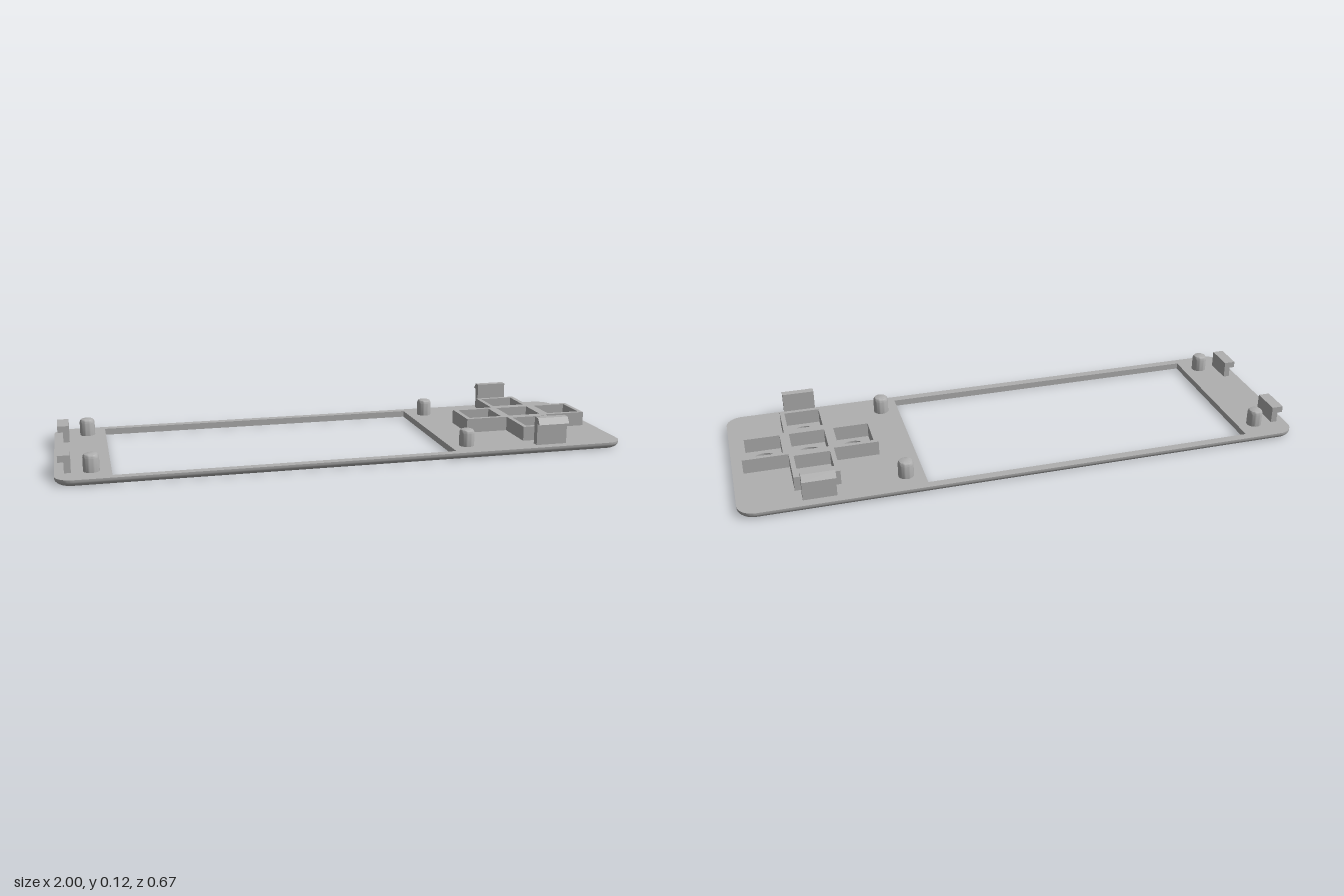
import * as THREE from 'three';
import { toCreasedNormals } from 'three/addons/utils/BufferGeometryUtils.js';

const PLATE_TOP = 0.023;
const PAD_X = 0.728, PITCH = 0.157, CELL = 0.156, WALL = 0.016;
// Centres of the five button cells, as [x, z]
const CELLS = [[0, 0], [1, 0], [-1, 0], [0, 1], [0, -1]].map(([i, j]) => [PAD_X + i * PITCH, j * PITCH]);

const polygon = (points, Type = THREE.Shape) => new Type(points.map(([x, y]) => new THREE.Vector2(x, y)));
const rectangle = (x0, x1, y0, y1, Type) => polygon([[x0, y0], [x1, y0], [x1, y1], [x0, y1]], Type);

// Face plate: rounded rectangle with a window, button holes and a rounded lower edge
function plateGeometry() {
  const w = 1, d = 0.335, r = 0.06;
  const shape = new THREE.Shape();
  shape.absarc(w - r, d - r, r, 0, Math.PI / 2);
  shape.absarc(-w + r, d - r, r, Math.PI / 2, Math.PI);
  shape.absarc(-w + r, -d + r, r, Math.PI, Math.PI * 1.5);
  shape.absarc(w - r, -d + r, r, Math.PI * 1.5, Math.PI * 2);
  shape.holes.push(rectangle(-0.815, 0.367, -0.305, 0.305, THREE.Path));
  for (const [x, z] of CELLS) {
    shape.holes.push(new THREE.Path().absarc(x, -z, 0.042, 0, Math.PI * 2, true));
  }
  // Each extrusion step gets a height and an inset of the outer edge
  const levels = [[0, 0.015], [0.004, 0.008], [0.01, 0.002], [0.016, 0], [PLATE_TOP, 0]];
  const geometry = new THREE.ExtrudeGeometry(shape, {
    depth: 4, steps: 4, bevelEnabled: false, curveSegments: 12,
  });
  const p = geometry.attributes.position;
  for (let i = 0; i < p.count; i++) {
    const [height, inset] = levels[Math.round(p.getZ(i))];
    const x = p.getX(i), y = p.getY(i);
    const cx = THREE.MathUtils.clamp(x, -w + r, w - r);
    const cy = THREE.MathUtils.clamp(y, -d + r, d - r);
    const onRim = Math.hypot(x - cx, y - cy) > r - 0.005;
    const k = onRim ? 1 - inset / r : 1;
    p.setXYZ(i, cx + (x - cx) * k, cy + (y - cy) * k, height);
  }
  geometry.rotateX(-Math.PI / 2);
  return toCreasedNormals(geometry, 0.5);
}

// Cross-shaped frame with five square wells
function buttonFrameGeometry() {
  const a = CELL / 2, b = PITCH + a;
  const shape = polygon([
    [a, -b], [a, -a], [b, -a], [b, a], [a, a], [a, b],
    [-a, b], [-a, a], [-b, a], [-b, -a], [-a, -a], [-a, -b],
  ]);
  const h = a - WALL;
  for (const [x, z] of CELLS) {
    const cx = x - PAD_X;
    shape.holes.push(rectangle(cx - h, cx + h, z - h, z + h, THREE.Path));
  }
  const geometry = new THREE.ExtrudeGeometry(shape, { depth: 0.075 - PLATE_TOP, bevelEnabled: false });
  return geometry.rotateX(-Math.PI / 2).translate(PAD_X, PLATE_TOP, 0);
}

// Locating post with a rounded tip
function postGeometry() {
  const profile = [
    [0.027, PLATE_TOP], [0.027, 0.07], [0.0255, 0.076], [0.022, 0.081], [0.017, 0.083], [0, 0.083],
  ].map(([x, y]) => new THREE.Vector2(x, y));
  return toCreasedNormals(new THREE.LatheGeometry(profile, 28), 0.55);
}

// Clip profile in (outward, up), extruded along its width and centred
function clipGeometry(profile, width) {
  return new THREE.ExtrudeGeometry(polygon(profile), { depth: width, bevelEnabled: false })
    .translate(0, 0, -width / 2);
}

export function createModel() {
  const model = new THREE.Group();
  model.name = 'facePlate';
  const grey = new THREE.MeshStandardMaterial({ color: 0xb0b0b0 });
  grey.name = 'grey plastic';

  const add = (name, geometry) => {
    const mesh = new THREE.Mesh(geometry, grey);
    mesh.name = name;
    model.add(mesh);
    return mesh;
  };

  add('plate', plateGeometry());
  add('buttonFrame', buttonFrameGeometry());

  // Four posts around the window
  const post = postGeometry();
  for (const x of [-0.88, 0.43]) {
    for (const z of [-0.24, 0.24]) add('post', post).position.set(x, 0, z);
  }

  // Tall snap clips on the long edges, with sloped barbs facing outward
  const tallClip = clipGeometry([
    [0.276, PLATE_TOP], [0.301, PLATE_TOP], [0.301, 0.1], [0.318, 0.1], [0.302, 0.122], [0.276, 0.122],
  ], 0.114);
  for (const side of [1, -1]) {
    const clip = add('tallClip', tallClip);
    clip.position.x = 0.73;
    clip.rotation.y = -side * Math.PI / 2;
  }

  // Short hooks on the left end, overhanging outward
  const hook = clipGeometry([
    [0.946, PLATE_TOP], [0.968, PLATE_TOP], [0.968, 0.06], [0.987, 0.06], [0.987, 0.083], [0.946, 0.083],
  ], 0.108);
  for (const side of [1, -1]) {
    const mesh = add('endHook', hook);
    mesh.rotation.y = Math.PI;
    mesh.position.z = side * 0.196;
  }
  return model;
}
